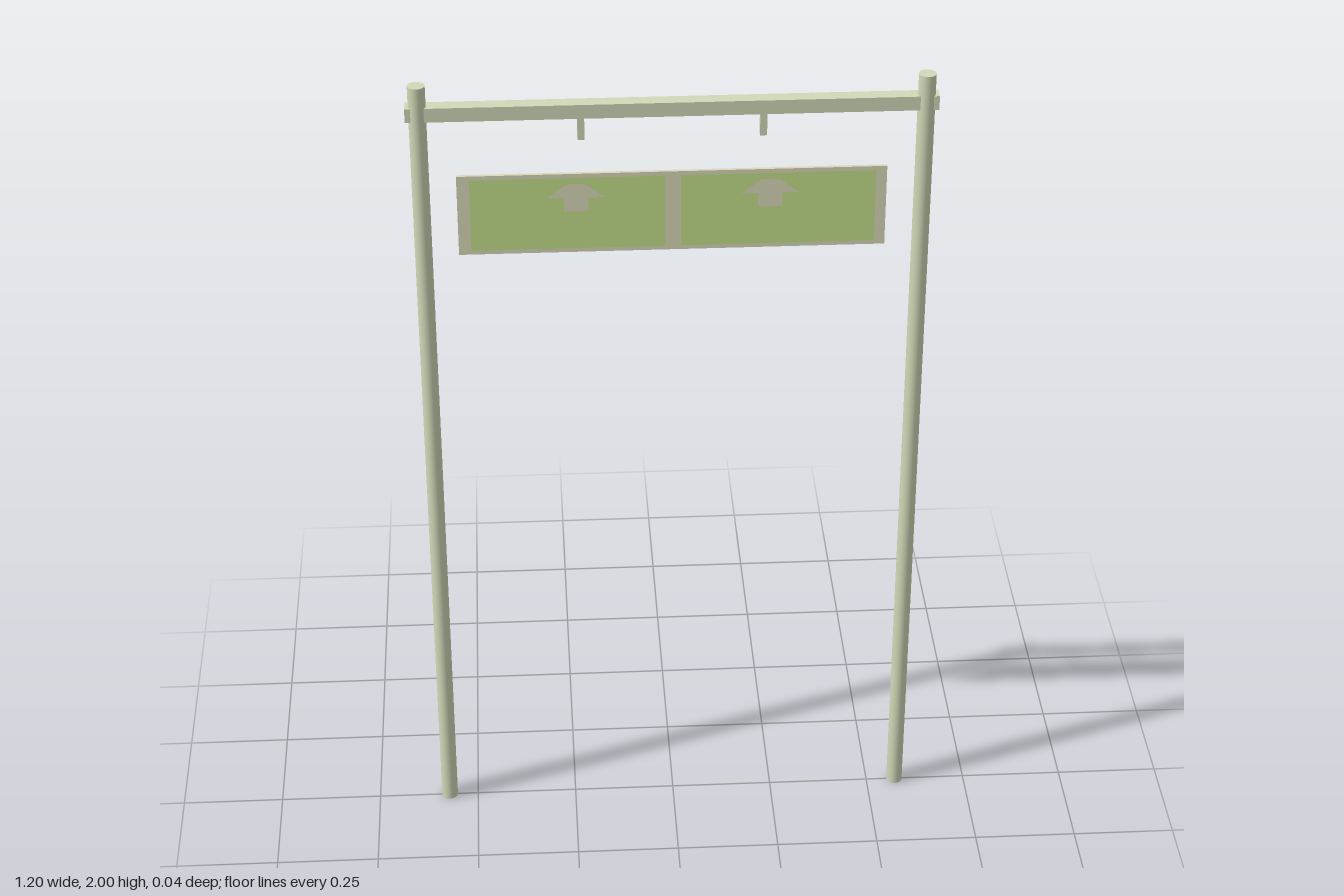
import * as THREE from 'three';

const paint = new THREE.MeshStandardMaterial({ color: 0xd0dab8 });
const cream = new THREE.MeshStandardMaterial({ color: 0xdad8ba });
const green = new THREE.MeshStandardMaterial({ color: 0xc2de88 });

export function createModel() {
  const model = new THREE.Group();

  function add(parent, name, geometry, material, x, y, z) {
    const mesh = new THREE.Mesh(geometry, material);
    mesh.name = name;
    mesh.position.set(x, y, z);
    parent.add(mesh);
    return mesh;
  }

  // Round posts and the crossbar that passes through them
  const postGeometry = new THREE.CylinderGeometry(0.02, 0.02, 2, 20);
  add(model, 'leftPost', postGeometry, paint, 0.572, 1, 0);
  add(model, 'rightPost', postGeometry, paint, -0.572, 1, 0);
  add(model, 'crossbar', new THREE.BoxGeometry(1.2, 0.034, 0.034), paint, 0, 1.932, -0.004);

  // Short hanger stubs below the crossbar
  const hangerGeometry = new THREE.BoxGeometry(0.016, 0.06, 0.016);
  for (const [name, x] of [['leftHanger', 0.205], ['rightHanger', -0.207]]) {
    add(model, name, hangerGeometry, paint, x, 1.888, -0.004);
  }

  // Sign board with two green fields, each carrying an upward arrow
  const sign = new THREE.Group();
  sign.name = 'sign';
  sign.position.set(0, 1.68, 0);
  model.add(sign);
  add(sign, 'signBoard', new THREE.BoxGeometry(0.978, 0.2, 0.008), cream, -0.002, 0, 0.014);

  const arrow = new THREE.Shape([
    [-0.028, -0.035], [0.028, -0.035], [0.028, 0], [0.066, 0],
    [0.02, 0.035], [-0.02, 0.035], [-0.066, 0], [-0.028, 0],
  ].map(([x, y]) => new THREE.Vector2(x, y)));
  const arrowGeometry = new THREE.ShapeGeometry(arrow);
  const fieldGeometry = new THREE.PlaneGeometry(0.445, 0.18);
  for (const [side, s] of [['left', 1], ['right', -1]]) {
    add(sign, side + 'Field', fieldGeometry, green, s * 0.24, 0, 0.0187);
    add(sign, side + 'Arrow', arrowGeometry, cream, s * 0.221, 0.04, 0.0195);
  }

  return model;
}
